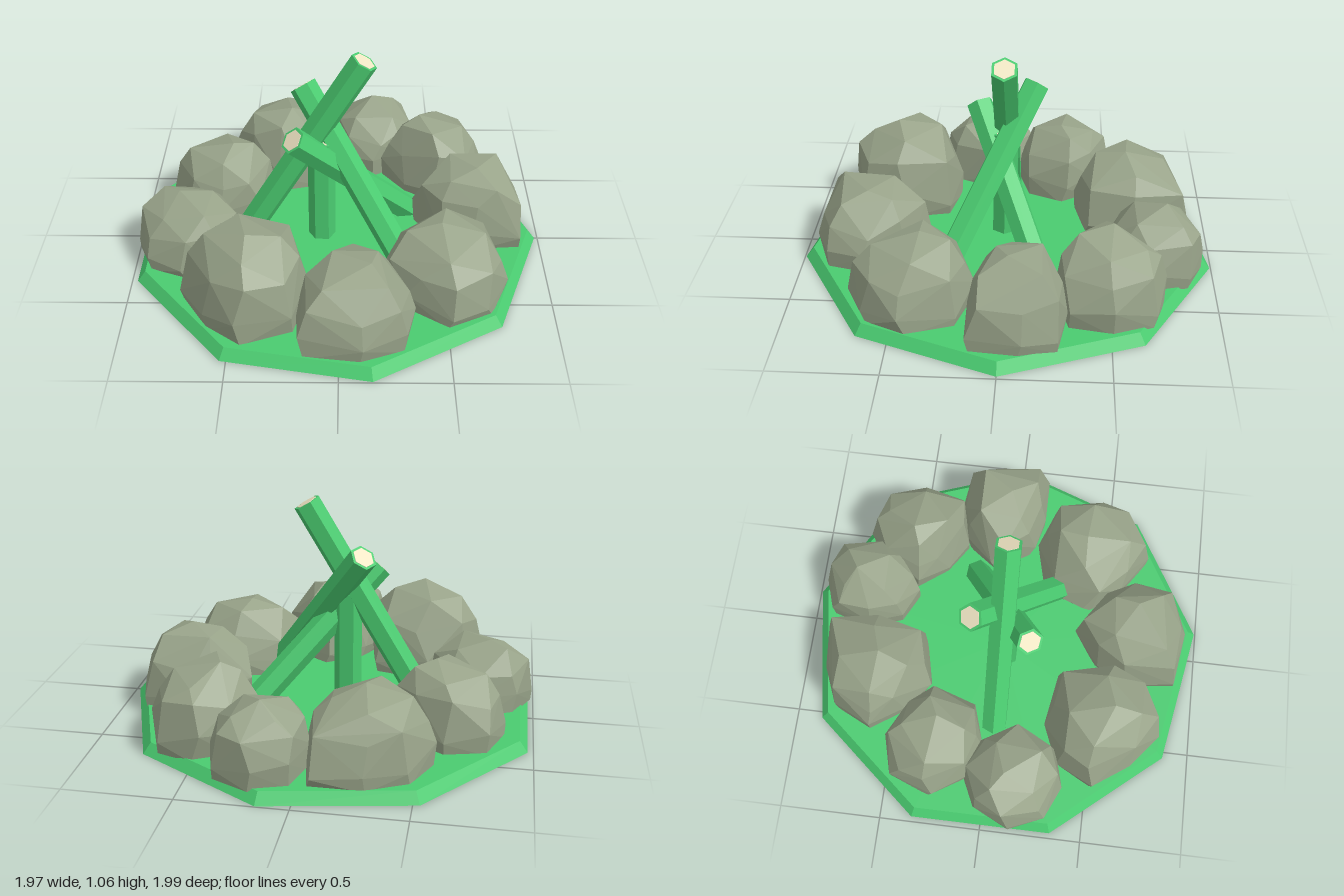
import * as THREE from 'three';
import { ConvexGeometry } from 'three/addons/geometries/ConvexGeometry.js';

const mat = (color) => new THREE.MeshStandardMaterial({ color, flatShading: true });

function seeded(seed) {
  let s = seed * 7919 + 17;
  return () => (s = (s * 16807) % 2147483647) / 2147483647;
}

// Boulder: reach in eight directions (from +x round through +z), drawn in
// over uneven rings toward an off-centre crown
function makeRock([x, z, top, ...reach], index, material) {
  const rand = seeded(index + 3);
  const jitter = (amount) => amount * (rand() - 0.5);
  const bottom = 0.035, height = top - bottom;
  const profile = [[0.98, 0, 0], [1.01, 0.25, 0.2], [0.89, 0.62, 0.22], [0.62, 0.88, 0.16]]; // scale, level, unevenness
  const points = [];
  profile.forEach(([scale, level, uneven], ring) => {
    reach.forEach((r, i) => {
      if (ring === 3 && (i + index) % 2) return;
      const angle = (i * Math.PI) / 4 + jitter(0.15 + 0.1 * ring);
      const s = r * scale * (1 + jitter(0.03 * ring));
      points.push(new THREE.Vector3(
        x + s * Math.cos(angle), bottom + height * (level + jitter(uneven)), z + s * Math.sin(angle)));
    });
  });
  points.push(new THREE.Vector3(x + jitter(0.14), top, z + jitter(0.14)));
  const rock = new THREE.Mesh(new ConvexGeometry(points), material);
  rock.name = `rock${index + 1}`;
  return rock;
}

// Six-sided log between two points, with a pale cut face inside its bark rim
function makeLog(from, to, name, bark, cutWood) {
  const a = new THREE.Vector3(...from), b = new THREE.Vector3(...to);
  const axis = b.clone().sub(a), length = axis.length(), radius = 0.067;
  const hexagon = (r, h) => new THREE.CylinderGeometry(r, r, h, 6, 1, false, Math.PI / 6);
  const log = new THREE.Group();
  const trunk = new THREE.Mesh(hexagon(radius, length), bark);
  trunk.name = 'bark';
  const cut = new THREE.Mesh(hexagon(radius * 0.8, 0.004), cutWood);
  cut.position.y = length / 2;
  cut.name = 'cutFace';
  log.add(trunk, cut);
  log.position.copy(a).add(b).multiplyScalar(0.5);
  log.quaternion.setFromUnitVectors(new THREE.Vector3(0, 1, 0), axis.normalize());
  log.name = name;
  return log;
}

export function createModel() {
  const model = new THREE.Group();
  model.name = 'campfire';
  const green = mat(0x4acb70), stone = mat(0x99a48a), cutWood = mat(0xf0e6c4);

  // Nine-sided ground slab with a bevelled rim
  const base = new THREE.Mesh(
    new THREE.CylinderGeometry(0.97, 1.01, 0.05, 9, 1, false, Math.PI / 2), green);
  base.position.set(-0.025, 0.025, 0);
  base.name = 'groundSlab';
  model.add(base);

  // Ring of boulders: x, z, crown height, then the eight reaches
  const rocks = [
    [-0.29, -0.62, 0.41, 0.29, 0.32, 0.29, 0.24, 0.28, 0.26, 0.26, 0.36],
    [0.19, -0.71, 0.38, 0.22, 0.2, 0.25, 0.24, 0.22, 0.25, 0.24, 0.24],
    [0.48, -0.5, 0.42, 0.26, 0.3, 0.26, 0.22, 0.26, 0.23, 0.25, 0.27],
    [0.65, -0.08, 0.41, 0.26, 0.32, 0.23, 0.24, 0.28, 0.23, 0.22, 0.28],
    [0.5, 0.42, 0.39, 0.29, 0.28, 0.29, 0.25, 0.3, 0.32, 0.29, 0.31],
    [0.08, 0.66, 0.39, 0.26, 0.29, 0.27, 0.34, 0.27, 0.25, 0.29, 0.24],
    [-0.43, 0.53, 0.48, 0.28, 0.31, 0.3, 0.25, 0.3, 0.28, 0.27, 0.32],
    [-0.74, 0.13, 0.36, 0.26, 0.26, 0.25, 0.25, 0.25, 0.24, 0.25, 0.23],
    [-0.6, -0.27, 0.4, 0.26, 0.26, 0.24, 0.24, 0.27, 0.28, 0.25, 0.22],
  ];
  const ring = new THREE.Group();
  ring.name = 'rockRing';
  rocks.forEach((rock, i) => ring.add(makeRock(rock, i, stone)));
  model.add(ring);

  // Three crossed logs leaning on an upright one
  model.add(
    makeLog([-0.47, 0.05, 0.01], [0.11, 1.03, 0.01], 'tallLog', green, cutWood),
    makeLog([0.33, 0.05, 0.3], [-0.18, 0.82, -0.13], 'middleLog', green, cutWood),
    makeLog([0.35, 0.05, -0.18], [-0.22, 0.69, 0.15], 'shortLog', green, cutWood),
    makeLog([-0.09, 0.05, 0.02], [-0.09, 0.6, 0.01], 'uprightLog', green, cutWood));
  return model;
}
